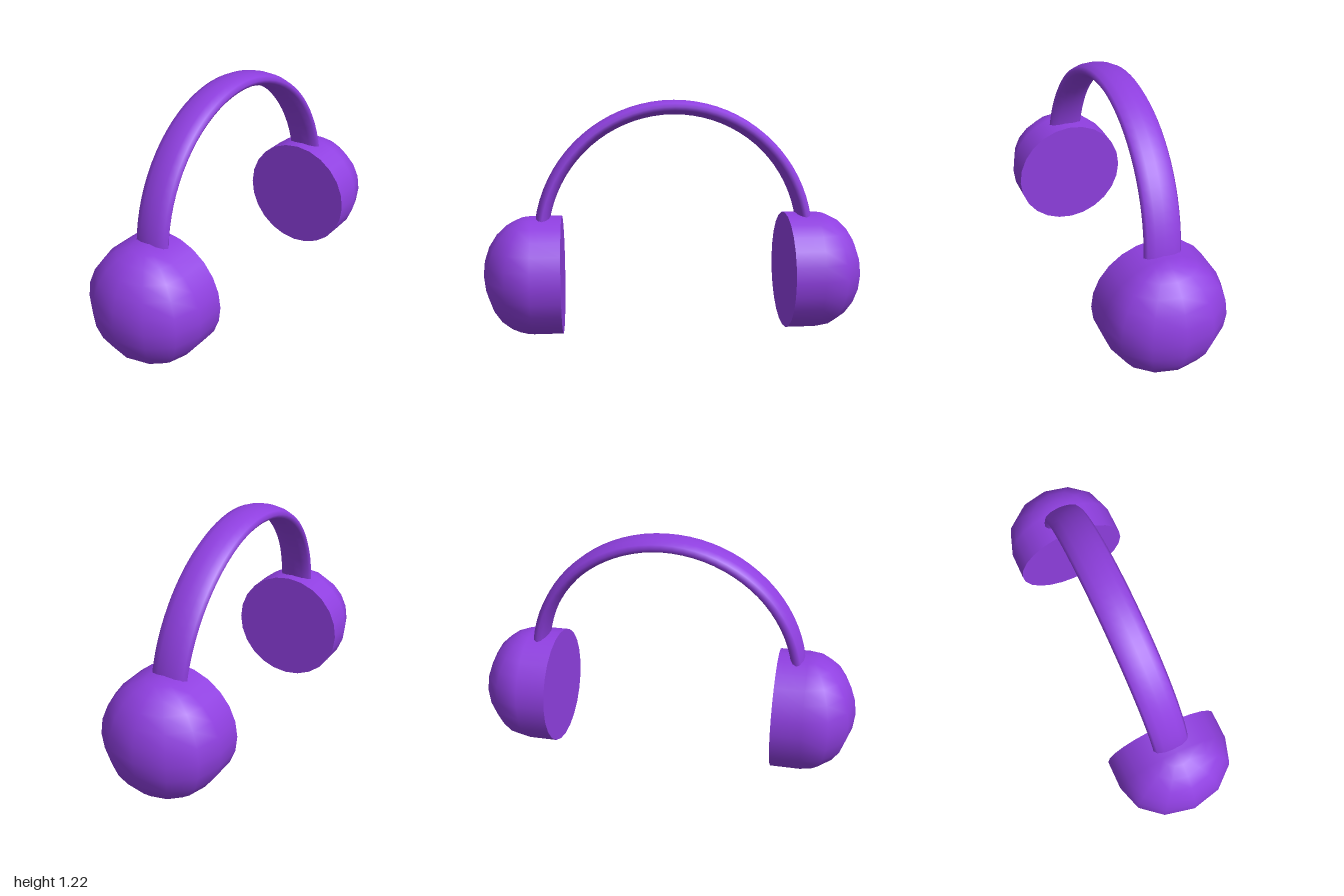
import * as THREE from 'three';

const RADIUS = 0.31;
const CUP_X = 0.743; // where the straight rim meets the rounded shell
const RIM_DEPTH = 0.153;

export function createModel() {
  const model = new THREE.Group();
  model.name = 'headphones';
  const purple = new THREE.MeshStandardMaterial({ color: 0x8f3fe0 });

  const addMesh = (parent, name, geometry) => {
    const mesh = new THREE.Mesh(geometry, purple);
    mesh.name = name;
    parent.add(mesh);
    return mesh;
  };

  // Ear cup: half-dome outside, straight rim, flat inner face
  const dome = new THREE.SphereGeometry(RADIUS, 6, 12, Math.PI / 2, Math.PI);
  dome.scale((1 - CUP_X) / RADIUS, 1, 1);
  const rim = new THREE.CylinderGeometry(RADIUS, RADIUS, RIM_DEPTH, 24, 1, true);
  rim.rotateZ(Math.PI / 2);
  rim.translate(-RIM_DEPTH / 2, 0, 0);
  const pad = new THREE.CircleGeometry(RADIUS, 24);
  pad.rotateY(-Math.PI / 2);
  pad.translate(-RIM_DEPTH, 0, 0);

  for (const side of [1, -1]) {
    const cup = new THREE.Group();
    cup.name = side > 0 ? 'leftEarCup' : 'rightEarCup';
    addMesh(cup, 'shell', dome);
    addMesh(cup, 'rim', rim);
    addMesh(cup, 'innerFace', pad);
    cup.position.set(side * CUP_X, RADIUS, 0);
    cup.rotation.y = side > 0 ? 0 : Math.PI;
    model.add(cup);
  }

  // Headband: flattened half ring, leaning slightly back, ends inside the cups
  const arc = new THREE.TorusGeometry(0.699, 0.0375, 12, 40, Math.PI);
  arc.scale(1, 1, 2.53);
  const band = addMesh(model, 'headband', arc);
  band.position.y = 0.481;
  band.rotation.x = -0.065;

  return model;
}
